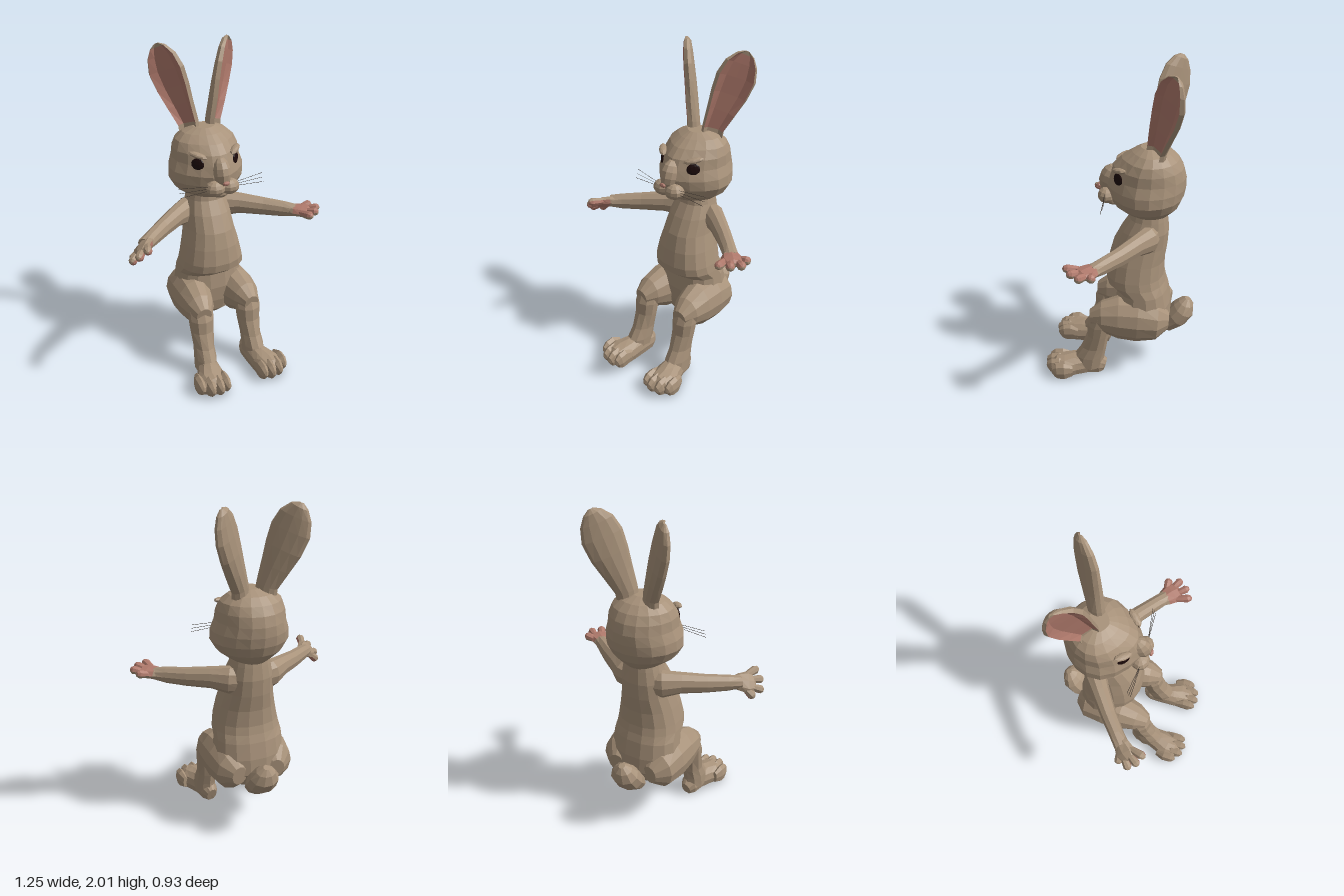
import * as THREE from 'three';

const mat = (name, color) => {
  const m = new THREE.MeshStandardMaterial({ color });
  m.name = name;
  return m;
};
const V = (x, y, z) => new THREE.Vector3(x, y, z);

// Rings around a path; rows are [x, y, z, halfWidth, halfThickness].
function tubeRings(rows, side, n = 10, dish = false) {
  const c = rows.map(r => V(r[0], r[1], r[2]));
  return rows.map((r, i) => {
    const t = c[Math.min(i + 1, c.length - 1)].clone().sub(c[Math.max(i - 1, 0)]).normalize();
    const a = side.clone().addScaledVector(t, -side.dot(t)).normalize();
    const b = t.clone().cross(a);
    return Array.from({ length: n }, (_, j) => {
      const ang = j / n * Math.PI * 2;
      let s = Math.sin(ang);
      if (dish && s < -0.6) s = 0.05;
      return c[i].clone().addScaledVector(a, r[3] * Math.cos(ang)).addScaledVector(b, r[4] * s);
    });
  });
}

// Level rings; rows are [y, zFront, zBack, halfWidth, centreX]; narrow pinches the front.
function levelRings(rows, n, narrow = 0, power = 1) {
  const p = v => Math.sign(v) * Math.abs(v) ** power;
  return rows.map(([y, zf, zb, w, cx = 0]) => Array.from({ length: n }, (_, j) => {
    const ang = (j + 0.5) / n * Math.PI * 2, s = p(Math.sin(ang));
    const pinch = 1 - narrow * Math.max(0, s) ** 2;
    return V(cx + w * p(Math.cos(ang)) * pinch, y, (zf + zb) / 2 + (zf - zb) / 2 * s);
  }));
}

// Skin the rings with faceted triangles; group 1 holds the inner (pink) columns.
function loft(rings, s = 1, inner = () => false) {
  const tris = [[], []], n = rings[0].length, last = rings.length - 1;
  const centre = ring => ring.reduce((a, p) => a.add(p), V(0, 0, 0)).divideScalar(n);
  const c0 = centre(rings[0]), c1 = centre(rings[last]);
  for (let j = 0; j < n; j++) {
    const k = (j + 1) % n;
    tris[0].push([c0, rings[0][k], rings[0][j]], [c1, rings[last][j], rings[last][k]]);
    for (let i = 0; i < last; i++) {
      const [a, b, c, d] = [rings[i][j], rings[i][k], rings[i + 1][k], rings[i + 1][j]];
      tris[inner(i, (j + 0.5) / n * Math.PI * 2) ? 1 : 0].push([a, b, c], [a, c, d]);
    }
  }
  const all = [...tris[0], ...tris[1]];
  const m = v => V(v.x * s, v.y, v.z);
  const mid = c0.clone().add(c1).multiplyScalar(0.5);
  let vol = 0;
  for (const [a, b, c] of all) {
    const q = [a, b, c].map(v => m(v).sub(m(mid)));
    vol += q[0].dot(q[1].cross(q[2]));
  }
  const pos = all.flatMap(([a, b, c]) => (vol < 0 ? [a, c, b] : [a, b, c]).flatMap(v => m(v).toArray()));
  const g = new THREE.BufferGeometry();
  g.setAttribute('position', new THREE.Float32BufferAttribute(pos, 3));
  g.computeVertexNormals();
  g.addGroup(0, tris[0].length * 3, 0);
  if (tris[1].length) g.addGroup(tris[0].length * 3, tris[1].length * 3, 1);
  return g;
}

function blob(rx, ry, rz, w = 10, h = 7) {
  const g = new THREE.SphereGeometry(1, w, h).scale(rx, ry, rz).toNonIndexed();
  g.computeVertexNormals();
  return g;
}

export function createModel() {
  const model = new THREE.Group();
  const fur = mat('fur', 0xa8927a), pink = mat('pinkSkin', 0xb07a6c);
  const dark = mat('eyeDark', 0x1c0a0a), whiskerMat = mat('whisker', 0x3a322c);
  const add = (name, geo, material = fur, pos = [0, 0, 0], rot = [0, 0, 0]) => {
    const mesh = new THREE.Mesh(geo, material);
    mesh.name = name;
    mesh.position.set(...pos);
    mesh.rotation.set(...rot);
    model.add(mesh);
    return mesh;
  };
  const flatten = rings => {
    rings.flat().forEach(p => { p.y = Math.max(p.y, 0.003); });
    return rings;
  };
  const X = V(1, 0, 0);

  // Torso with a belly fold
  add('torso', loft(levelRings([
    [1.15, -0.06, -0.27, 0.105], [1.08, -0.05, -0.28, 0.12], [1.0, 0, -0.29, 0.14],
    [0.9, 0.05, -0.285, 0.15], [0.8, 0.077, -0.27, 0.175], [0.7, 0.092, -0.27, 0.197],
    [0.65, 0.085, -0.28, 0.205], [0.6, 0.02, -0.295, 0.21], [0.5, 0.03, -0.315, 0.22],
    [0.4, 0.02, -0.32, 0.21], [0.32, 0, -0.28, 0.17], [0.265, -0.06, -0.2, 0.09],
  ], 16, 0, 0.88)));

  // Head
  add('head', loft(levelRings([
    [1.1, -0.06, -0.28, 0.1], [1.13, 0, -0.31, 0.145], [1.17, 0.05, -0.345, 0.197],
    [1.23, 0.08, -0.37, 0.232], [1.29, 0.09, -0.38, 0.228], [1.35, 0.075, -0.38, 0.206],
    [1.41, 0.05, -0.365, 0.2], [1.46, 0, -0.335, 0.18], [1.5, -0.06, -0.29, 0.135],
    [1.527, -0.11, -0.23, 0.07],
  ], 18, 0.35)));
  add('noseBridge', blob(0.055, 0.09, 0.07), fur, [0, 1.315, 0.062], [-0.3, 0, 0]);
  add('chin', blob(0.055, 0.035, 0.045), fur, [0, 1.182, 0.045]);
  add('nose', blob(0.022, 0.014, 0.012, 8, 5), pink, [0, 1.268, 0.132]);

  // Tail
  add('tail', loft(tubeRings([
    [0, 0.29, -0.25, 0.05, 0.03], [0, 0.32, -0.3, 0.085, 0.06], [0, 0.375, -0.36, 0.1, 0.075],
    [0, 0.43, -0.4, 0.09, 0.072], [0, 0.475, -0.415, 0.06, 0.05], [0, 0.505, -0.425, 0.02, 0.02],
  ], X)));

  for (const s of [1, -1]) {
    const side = s > 0 ? 'left' : 'right';

    // Ears: dished, pink inside
    add(side + 'Ear', loft(tubeRings([
      [0.075, 1.46, -0.2, 0.065, 0.055], [0.083, 1.54, -0.21, 0.066, 0.05],
      [0.12, 1.65, -0.235, 0.088, 0.05], [0.153, 1.75, -0.26, 0.109, 0.047],
      [0.184, 1.85, -0.28, 0.117, 0.043], [0.205, 1.93, -0.295, 0.094, 0.037],
      [0.22, 1.98, -0.31, 0.052, 0.028], [0.226, 2.0, -0.315, 0.014, 0.01],
    ], V(1, 0, -1).normalize(), 12, true), s, (i, a) => i > 0 && i < 6 && Math.sin(a) < -0.3), [fur, pink]);

    // Face
    add(side + 'Muzzle', blob(0.062, 0.048, 0.055), fur, [s * 0.045, 1.225, 0.08]);
    add(side + 'Brow', blob(0.06, 0.016, 0.025, 8, 6), fur, [s * 0.12, 1.415, 0], [0, s * 0.8, s * 0.2]);
    add(side + 'Eye', blob(0.04, 0.036, 0.009, 10, 6), dark, [s * 0.122, 1.362, 0.004], [-0.12, s * 0.78, s * 0.2]);
    for (const k of [-1, 0, 1]) {
      const from = V(s * 0.08, 1.235 + k * 0.012, 0.09), to = V(s * 0.27, 1.235 + k * 0.025, 0.075 - k * 0.01);
      add(side + 'Whisker', new THREE.TubeGeometry(new THREE.LineCurve3(from, to), 1, 0.0013, 4), whiskerMat);
    }

    // Arm
    add(side + 'Arm', loft(tubeRings([
      [0.06, 0.98, -0.2, 0.05, 0.08], [0.13, 0.985, -0.175, 0.068, 0.085], [0.22, 0.99, -0.115, 0.056, 0.066],
      [0.34, 0.98, -0.03, 0.048, 0.057], [0.44, 0.975, 0.05, 0.044, 0.049], [0.5, 0.975, 0.1, 0.046, 0.036],
    ], V(-0.6, 0, 0.8)), s));

    // Hand: the left palm faces up, the right palm faces down and forward
    const fwd = (s > 0 ? V(0.7, 0.06, 0.7) : V(-0.7, -0.1, 0.7)).normalize();
    const palmUp = s > 0 ? V(0, 1, 0) : V(0.45, -0.75, 0.45);
    const across = fwd.clone().cross(palmUp).normalize();
    const place = new THREE.Matrix4().makeBasis(fwd, across.clone().cross(fwd), across).setPosition(s * 0.47, 0.975, 0.075);
    const handPart = (name, rows, from) => {
      const rings = tubeRings(rows, V(0, 0, 1), 8);
      rings.flat().forEach(p => p.applyMatrix4(place));
      add(side + name, loft(rings, 1, (i, a) => i >= from && Math.sin(a) < -0.3), [fur, pink]);
    };
    handPart('Palm', [[-0.02, 0, 0, 0.035, 0.032], [0.03, 0, 0, 0.055, 0.034], [0.08, 0, -0.005, 0.07, 0.032],
      [0.115, 0.003, -0.005, 0.055, 0.025], [0.13, 0.003, -0.005, 0.02, 0.01]], 1);
    for (const [bx, bz, tx, tz] of [[0.055, -0.035, 0.11, -0.095], [0.09, -0.03, 0.175, -0.05],
      [0.09, 0.01, 0.185, 0.02], [0.07, 0.035, 0.165, 0.09]]) {
      const at = (f, r) => [bx + (tx - bx) * f, 0.012 * f, bz + (tz - bz) * f, r, r];
      handPart('Finger', [at(0, 0.018), at(0.5, 0.024), at(0.8, 0.026), at(0.96, 0.017), at(1.02, 0.006)], 0);
    }

    // Leg
    add(side + 'Thigh', loft(tubeRings([
      [0.12, 0.41, -0.31, 0.05, 0.06], [0.13, 0.415, -0.24, 0.115, 0.13], [0.14, 0.425, -0.12, 0.124, 0.158],
      [0.15, 0.43, 0, 0.114, 0.146], [0.16, 0.43, 0.1, 0.09, 0.105], [0.165, 0.42, 0.17, 0.05, 0.055],
    ], X, 12), s));
    add(side + 'Shin', loft(levelRings([
      [0.51, 0.12, 0, 0.045, 0.163], [0.46, 0.16, 0.02, 0.075, 0.163], [0.38, 0.192, 0.04, 0.08, 0.163],
      [0.3, 0.197, 0.06, 0.074, 0.163], [0.2, 0.235, 0.075, 0.063, 0.165], [0.13, 0.28, 0.088, 0.067, 0.168],
      [0.05, 0.3, 0.095, 0.066, 0.17],
    ], 10), s));

    // Foot, toes and sole
    add(side + 'Foot', loft(flatten(tubeRings([
      [0.155, 0.045, 0.09, 0.035, 0.05], [0.16, 0.055, 0.12, 0.055, 0.075], [0.165, 0.06, 0.2, 0.064, 0.085],
      [0.18, 0.055, 0.28, 0.08, 0.082], [0.198, 0.05, 0.34, 0.096, 0.077], [0.2, 0.05, 0.39, 0.085, 0.068],
      [0.195, 0.045, 0.42, 0.04, 0.04],
    ], X, 12)), s));
    for (const [x, z, r] of [[0.13, 0.385, 0.03], [0.178, 0.4, 0.031], [0.232, 0.39, 0.031], [0.282, 0.35, 0.029]])
      add(side + 'Toe', loft(flatten(tubeRings([
        [x - 0.01, 0.06, z - 0.07, r * 0.6, 0.04], [x, 0.06, z - 0.02, r, 0.063], [x, 0.056, z + 0.025, r, 0.06],
        [x, 0.05, z + 0.05, r * 0.7, 0.042], [x, 0.045, z + 0.06, r * 0.3, 0.018],
      ], X, 8)), s));
    const sole = [[0.13, 0.1], [0.185, 0.1], [0.228, 0.2], [0.285, 0.29], [0.308, 0.36], [0.26, 0.425],
      [0.185, 0.448], [0.115, 0.42], [0.103, 0.34], [0.105, 0.2]].map(([x, z]) => new THREE.Vector2(s * x, z));
    add(side + 'Sole', new THREE.ShapeGeometry(new THREE.Shape(sole)).rotateX(Math.PI / 2), pink);
  }
  return model;
}
